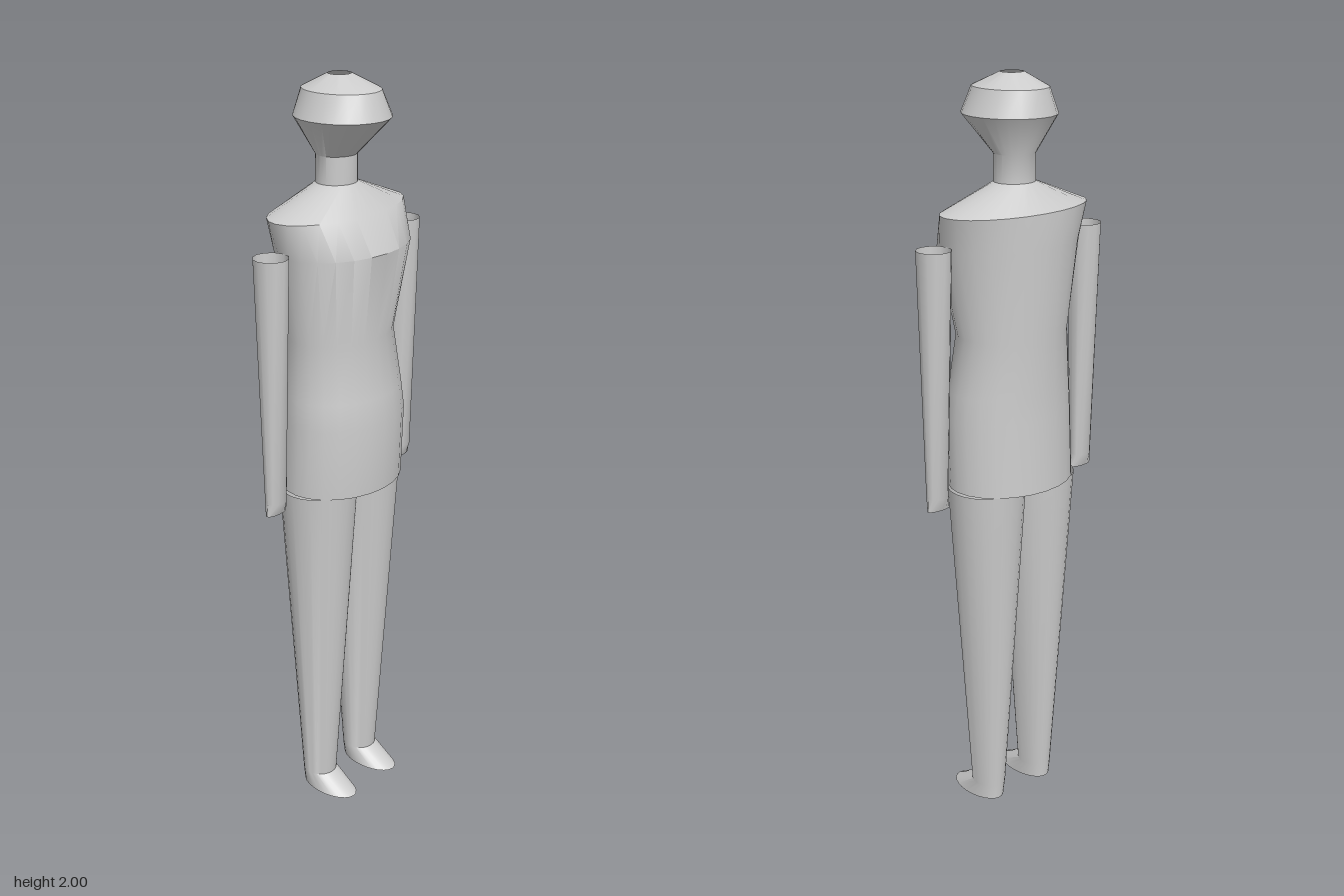
import * as THREE from 'three';
import { toCreasedNormals } from 'three/addons/utils/BufferGeometryUtils.js';

const material = new THREE.MeshStandardMaterial({ color: 0xcccccc, side: THREE.DoubleSide });

// Open tube through elliptical rings, listed bottom to top: [y, xMin, xMax, zBack, zFront]
function loft(name, rings, sides) {
  const positions = [];
  const indices = [];
  rings.forEach(([y, x0, x1, z0, z1], r) => {
    for (let i = 0; i < sides; i++) {
      const a = (i / sides) * Math.PI * 2;
      positions.push(
        (x0 + x1) / 2 + ((x1 - x0) / 2) * Math.sin(a),
        y,
        (z0 + z1) / 2 + ((z1 - z0) / 2) * Math.cos(a)
      );
      if (r === 0) continue;
      const j = (i + 1) % sides;
      const low = (r - 1) * sides;
      const high = r * sides;
      indices.push(low + i, low + j, high + j, low + i, high + j, high + i);
    }
  });
  const geometry = new THREE.BufferGeometry();
  geometry.setAttribute('position', new THREE.Float32BufferAttribute(positions, 3));
  geometry.setIndex(indices);
  const mesh = new THREE.Mesh(toCreasedNormals(geometry, 0.6), material);
  mesh.name = name;
  return mesh;
}

// Mirror rings to the other side of the body
const mirror = (rings) => rings.map(([y, x0, x1, z0, z1]) => [y, -x1, -x0, z0, z1]);

export function createModel() {
  const group = new THREE.Group();
  group.name = 'standingFigure';

  // Torso, from the hem up over the shoulders to the base of the neck
  group.add(loft('torso', [
    [0.94, -0.18, 0.18, -0.145, 0.14],
    [1.13, -0.18, 0.18, -0.135, 0.147],
    [1.2, -0.174, 0.174, -0.133, 0.138],
    [1.35, -0.157, 0.157, -0.133, 0.116],
    [1.58, -0.203, 0.203, -0.14, 0.147],
    [1.67, -0.222, 0.222, -0.137, 0.1],
    [1.735, -0.055, 0.055, -0.07, 0.033],
  ], 24));

  // Neck and head, open at the crown
  group.add(loft('neckAndHead', [
    [1.735, -0.055, 0.055, -0.07, 0.033],
    [1.805, -0.055, 0.055, -0.07, 0.033],
    [1.9, -0.117, 0.117, -0.126, 0.128],
    [1.965, -0.09, 0.09, -0.108, 0.103],
    [2.0, -0.03, 0.03, -0.038, 0.021],
  ], 24));

  // Legs, each ending in a foot that flares forward
  const leg = [
    [0, 0.038, 0.136, -0.056, 0.12],
    [0.045, 0.04, 0.132, -0.056, 0.038],
    [0.94, -0.018, 0.19, -0.11, 0.096],
  ];
  group.add(loft('leftLeg', leg, 24), loft('rightLeg', mirror(leg), 24));

  // Arms, hanging free and flattened at the hand
  const arm = [
    [0.915, 0.215, 0.285, -0.022, 0.006],
    [0.95, 0.221, 0.281, -0.033, 0.02],
    [1.595, 0.206, 0.296, -0.054, 0.037],
  ];
  group.add(loft('leftArm', arm, 12), loft('rightArm', mirror(arm), 12));

  return group;
}
